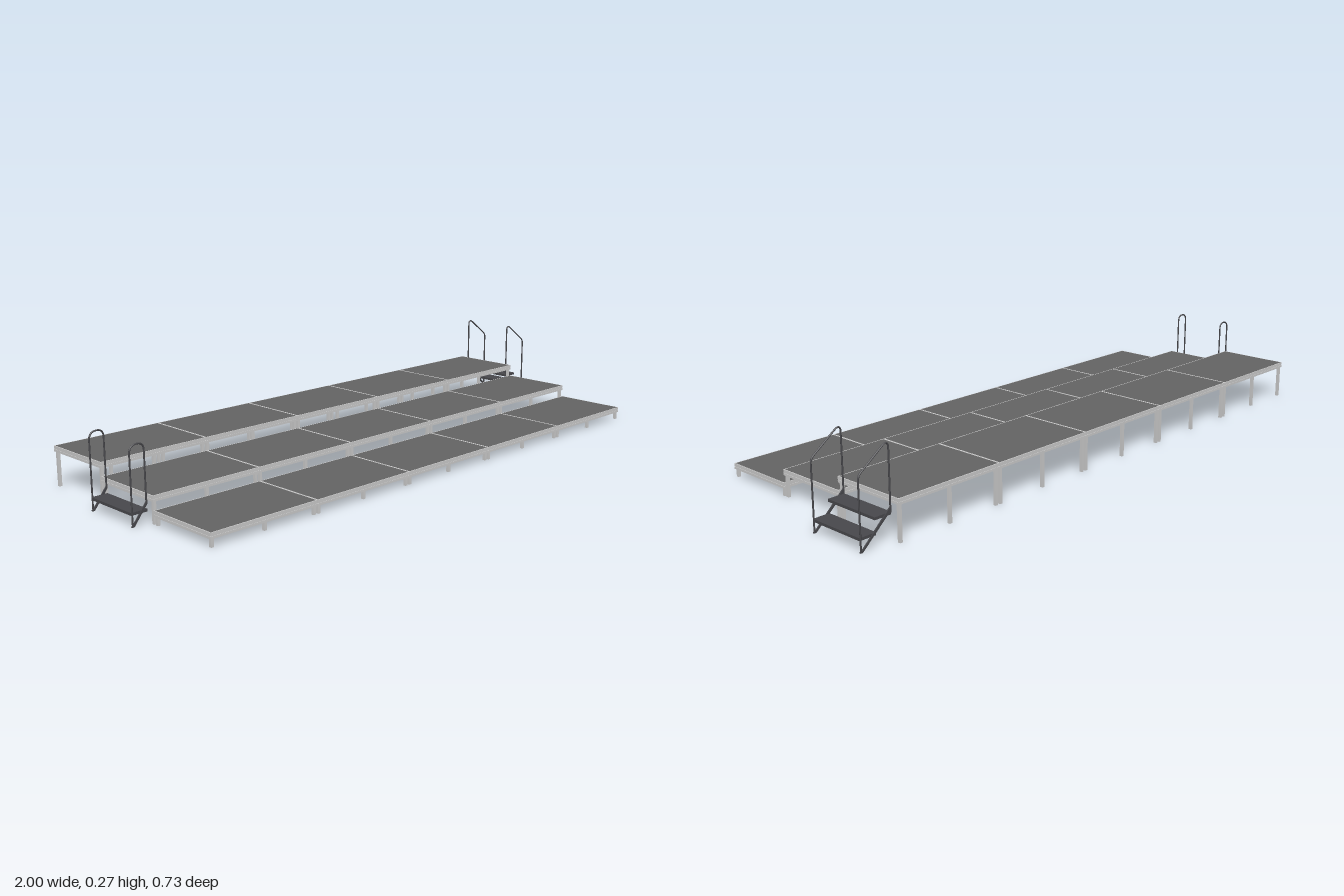
import * as THREE from 'three';

const frameMat = new THREE.MeshStandardMaterial({ color: 0xcccccc });
const panelMat = new THREE.MeshStandardMaterial({ color: 0x646464 });
const stairMat = new THREE.MeshStandardMaterial({ color: 0x48484c });

const X0 = -0.946, W = 0.3676, D = 0.245, COLS = 5;
const FRAME_H = 0.0175, RIM = 0.004;

function add(parent, name, geo, mat, x = 0, y = 0, z = 0) {
  const m = new THREE.Mesh(geo, mat);
  m.name = name;
  m.position.set(x, y, z);
  parent.add(m);
  return m;
}

// Rectangular ring lying flat, from y to y + h, its outside pulled in by inset
function ringGeo(inset, y, h) {
  const rect = (P, w, d) => new P([[-w, -d], [w, -d], [w, d], [-w, d]].map(p => new THREE.Vector2(...p)));
  const s = rect(THREE.Shape, W / 2 - inset, D / 2 - inset);
  s.holes.push(rect(THREE.Path, W / 2 - RIM, D / 2 - RIM));
  return new THREE.ExtrudeGeometry(s, { depth: h, bevelEnabled: false })
    .rotateX(-Math.PI / 2).translate(0, y, 0);
}

// One stage unit: grooved frame, panel and six legs
function deck(top) {
  const g = new THREE.Group();
  g.name = 'deck';
  const bottom = top - FRAME_H;
  add(g, 'frameLower', ringGeo(0.0004, bottom, 0.007), frameMat);
  add(g, 'frameGroove', ringGeo(0.0018, bottom + 0.007, 0.002), frameMat);
  add(g, 'frameUpper', ringGeo(0.0004, bottom + 0.009, FRAME_H - 0.009), frameMat);
  add(g, 'panel', new THREE.BoxGeometry(W - 2 * RIM + 0.001, 0.006, D - 2 * RIM + 0.001), panelMat, 0, top - 0.0028, 0);
  const leg = new THREE.BoxGeometry(0.009, bottom + 0.001, 0.009);
  for (const x of [-1, 0, 1]) for (const z of [-1, 1])
    add(g, 'leg', leg, frameMat, x * (W / 2 - 0.0085), (bottom + 0.001) / 2, z * (D / 2 - 0.008));
  return g;
}

// Tube along straight runs with rounded corners; points are [x, y, cornerRadius]
function handrail(points) {
  const P = points.map(p => new THREE.Vector3(p[0], p[1], 0));
  const path = new THREE.CurvePath();
  let from = P[0];
  for (let i = 1; i < P.length - 1; i++) {
    const r = points[i][2];
    const toward = q => P[i].clone().add(q.clone().sub(P[i]).setLength(r));
    const a = toward(P[i - 1]), b = toward(P[i + 1]);
    path.add(new THREE.LineCurve3(from, a));
    path.add(new THREE.QuadraticBezierCurve3(a, P[i], b));
    from = b;
  }
  path.add(new THREE.LineCurve3(from, P[P.length - 1]));
  return new THREE.TubeGeometry(path, 90, 0.0025, 8, false);
}

// Thin sloping side plate; corners are [x, y]
function stringer(corners) {
  const s = new THREE.Shape(corners.map(p => new THREE.Vector2(...p)));
  return new THREE.ExtrudeGeometry(s, { depth: 0.004, bevelEnabled: false }).translate(0, 0, -0.002);
}

// Stair unit: treads are [centreX, topY, width]
function stairs(name, zs, treads, rail, side) {
  const g = new THREE.Group();
  g.name = name;
  const zMid = (zs[0] + zs[1]) / 2, depth = Math.abs(zs[0] - zs[1]);
  for (const [x, y, w] of treads)
    add(g, 'tread', new THREE.BoxGeometry(w, 0.008, depth), stairMat, x, y - 0.004, zMid);
  const railGeo = handrail(rail), sideGeo = stringer(side);
  const foot = new THREE.BoxGeometry(0.007, 0.003, 0.005);
  for (const z of zs) {
    add(g, 'handrail', railGeo, stairMat, 0, 0, z);
    add(g, 'stringer', sideGeo, stairMat, 0, 0, z);
    add(g, 'foot', foot, stairMat, rail[rail.length - 1][0], 0.0015, z);
  }
  return g;
}

export function createModel() {
  const model = new THREE.Group();
  model.name = 'tieredStage';

  // Three rising rows of decks, lowest at the front
  [0.0415, 0.0825, 0.1235].forEach((top, row) => {
    for (let c = 0; c < COLS; c++) {
      const d = deck(top);
      d.position.set(X0 + W * (c + 0.5), 0, D * (1 - row));
      model.add(d);
    }
  });

  // One-step stair at the end of the middle row
  model.add(stairs('shortStairs', [0.096, -0.094],
    [[-0.972, 0.041, 0.052]],
    [[-0.9485, 0.06], [-0.9485, 0.227, 0.023], [-0.9945, 0.225, 0.023], [-0.9945, 0]],
    [[-0.998, 0], [-0.99, 0], [-0.946, 0.056], [-0.946, 0.067]]));

  // Two-step stair at the end of the back row
  model.add(stairs('tallStairs', [-0.149, -0.338],
    [[0.92, 0.082, 0.054], [0.971, 0.041, 0.054]],
    [[0.8945, 0.08], [0.8945, 0.279, 0.026], [0.995, 0.205, 0.012], [0.995, 0]],
    [[0.99, 0], [0.998, 0], [0.892, 0.1], [0.892, 0.088]]));

  return model;
}
